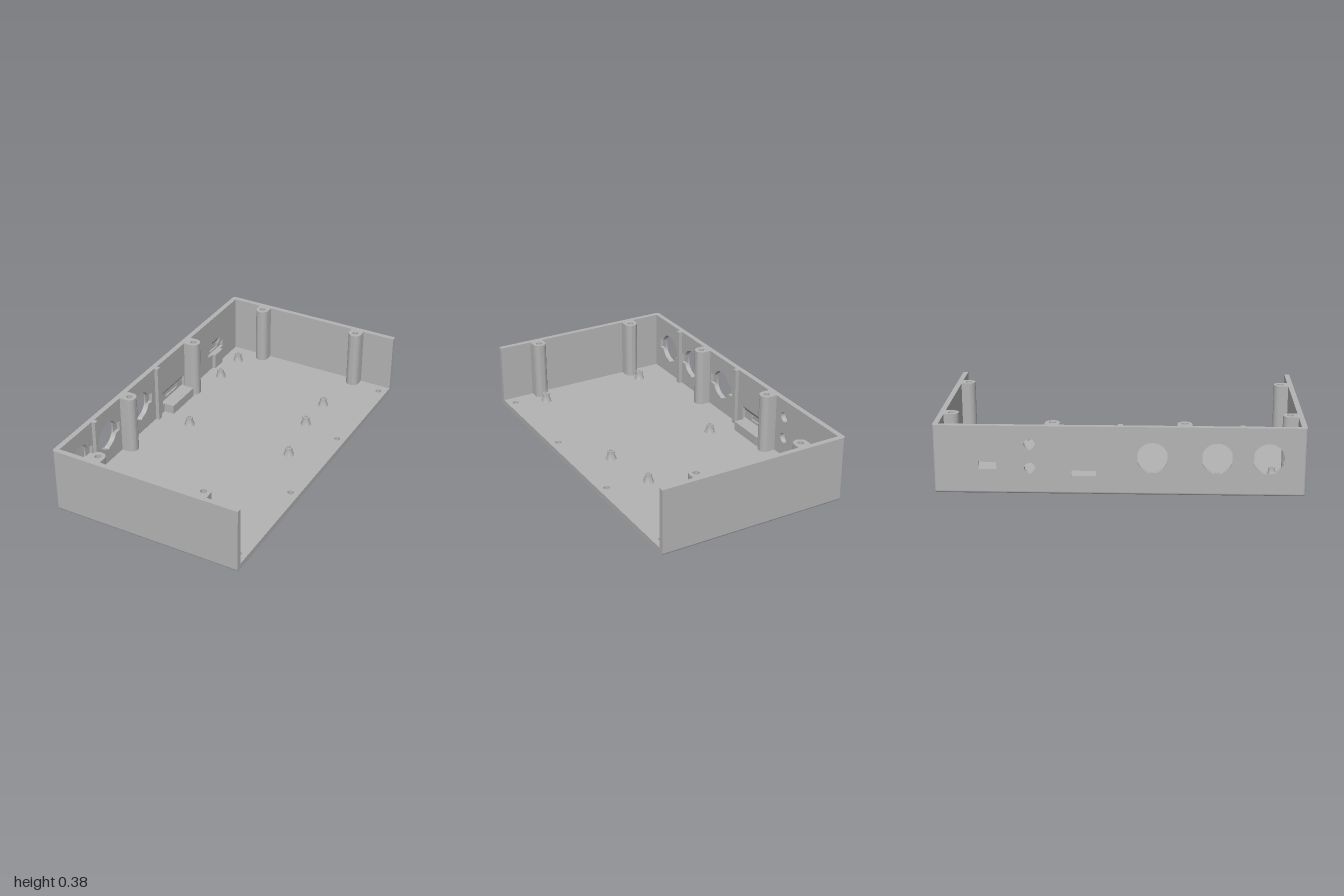
import * as THREE from 'three';
import { toCreasedNormals } from 'three/addons/utils/BufferGeometryUtils.js';

export function createModel() {
  const group = new THREE.Group();
  group.name = 'enclosureHalf';
  const grey = new THREE.MeshStandardMaterial({ color: 0xb3b3b3 });
  grey.name = 'grey plastic';

  const H = 0.383, X = 0.56, Z = 1, T = 0.03, F = 0.035, R = T / 2;

  const add = (name, geo, x = 0, y = 0, z = 0) => {
    const m = new THREE.Mesh(geo, grey);
    m.name = name;
    m.position.set(x, y, z);
    group.add(m);
    return m;
  };
  // box given by its limits
  const box = (name, x0, x1, y0, y1, z0, z1) =>
    add(name, new THREE.BoxGeometry(x1 - x0, y1 - y0, z1 - z0), (x0 + x1) / 2, (y0 + y1) / 2, (z0 + z1) / 2);
  const poly = (pts) => new THREE.Shape(pts.map(([a, b]) => new THREE.Vector2(a, b)));
  const rect = (a0, a1, b0, b1) => poly([[a0, b0], [a1, b0], [a1, b1], [a0, b1]]);
  const circle = (a, b, r) => new THREE.Shape().absarc(a, b, r, 0, Math.PI * 2, false);
  const extrude = (shape, depth) => toCreasedNormals(
    new THREE.ExtrudeGeometry(shape, { depth, bevelEnabled: false, curveSegments: 32 }), 0.6);

  // screw post centres with the turn that points each one at its wall
  const posts = [
    [-0.315, -0.932, 0], [0.325, -0.932, 0],
    [-0.315, 0.928, Math.PI], [0.325, 0.928, Math.PI],
    [-0.487, -0.36, Math.PI / 2], [-0.49, 0.35, Math.PI / 2],
  ];
  const edgeHoles = [-0.91, -0.305, 0.3, 0.905].map((z) => [0.51, z]);

  // floor with screw holes (shape y is -z)
  const floor = rect(-X + R, X, -Z + R, Z - R);
  [...posts, ...edgeHoles].forEach(([x, z]) => floor.holes.push(circle(x, -z, 0.018)));
  add('floor', extrude(floor, F).rotateX(-Math.PI / 2));

  // front and back walls with rounded bottom edges and corners
  for (const s of [1, -1]) {
    const end = s > 0 ? 'front' : 'back';
    const zc = s * (Z - R);
    box(end + 'Wall', -X + R, X, R, H, zc - R, zc + R);
    add(end + 'BottomEdge', new THREE.CylinderGeometry(R, R, 2 * X - R, 24).rotateZ(Math.PI / 2), R / 2, R, zc);
    add(end + 'CornerEdge', new THREE.CylinderGeometry(R, R, H - R, 24), -X + R, (H + R) / 2, zc);
    add(end + 'CornerBall', new THREE.SphereGeometry(R, 20, 12), -X + R, R, zc);
  }
  add('sideBottomEdge', new THREE.CylinderGeometry(R, R, 2 * (Z - R), 24).rotateX(Math.PI / 2), -X + R, R, 0);

  // round opening with a small bottom notch, and side ears when ear > 0
  const keyedHole = (a, b, ear) => {
    const r = 0.085, h = 0.03, t = Math.asin(h / r), pts = [];
    const arc = (from, to) => {
      for (let i = 0; i <= 16; i++) {
        const q = from + (to - from) * i / 16;
        pts.push([a + r * Math.cos(q), b + r * Math.sin(q)]);
      }
    };
    if (ear) pts.push([a + ear, b - h], [a + ear, b + h]);
    arc(t, Math.PI - t);
    if (ear) pts.push([a - ear, b + h], [a - ear, b - h]);
    arc(Math.PI + t, Math.PI * 1.5 - 0.12);
    pts.push([a, b - r - 0.01]);
    arc(Math.PI * 1.5 + 0.12, Math.PI * 2 - t);
    return poly(pts);
  };

  // connector wall: thin outer skin plus inner layer with pockets (shape x is -z)
  const skin = rect(-Z + R, Z - R, R, H);
  const inner = rect(-Z + T, Z - T, R, H);
  for (const z of [0.8, 0.525, 0.178]) {
    skin.holes.push(keyedHole(-z, 0.21, 0));
    inner.holes.push(keyedHole(-z, 0.21, 0.12));
  }
  for (const y of [0.147, 0.28]) {
    skin.holes.push(circle(0.48, y, 0.03));
    inner.holes.push(circle(0.48, y, 0.03));
  }
  skin.holes.push(rect(0.125, 0.255, 0.105, 0.135));
  skin.holes.push(rect(0.66, 0.757, 0.14, 0.18));
  inner.holes.push(rect(0.06, 0.315, 0.09, 0.17));
  inner.holes.push(poly([[0.615, 0.13], [0.797, 0.13], [0.797, 0.178], [0.757, 0.178],
    [0.757, 0.218], [0.66, 0.218], [0.66, 0.178], [0.615, 0.178]]));
  const skinT = 0.01;
  add('connectorWallSkin', extrude(skin, skinT).rotateY(Math.PI / 2), -X);
  add('connectorWallInner', extrude(inner, T - skinT).rotateY(Math.PI / 2), -X + skinT);

  // sloped pocket ceilings
  const slope = (name, z0, z1, yLow, yHigh) => add(name,
    extrude(poly([[-X + skinT, yLow], [-X + T, yHigh], [-X + skinT, yHigh]]), z1 - z0), 0, 0, z0);
  slope('longPocketCeiling', -0.315, -0.06, 0.14, 0.17);
  slope('smallPocketCeiling', -0.757, -0.66, 0.185, 0.218);
  slope('smallPocketSide', -0.66, -0.615, 0.153, 0.178);
  slope('smallPocketSide', -0.797, -0.757, 0.153, 0.178);

  // connector supports and wall ribs
  box('longConnectorShelf', -X + T, -0.465, F, 0.09, -0.31, -0.075);
  box('smallConnectorSupport', -X + T, -0.51, F, 0.13, -0.76, -0.665);
  for (const z of [0.658, 0.006]) box('wallRib', -X + T, -0.508, F, H, z - 0.014, z + 0.014);

  // screw posts merging into the walls
  const post = new THREE.Shape();
  post.absarc(0, 0, 0.04, Math.PI, Math.PI * 2, false);
  post.lineTo(0.04, 0.045);
  post.lineTo(-0.04, 0.045);
  post.closePath();
  post.holes.push(circle(0, 0, 0.018));
  const postGeo = extrude(post, H - F).rotateX(-Math.PI / 2);
  for (const [x, z, turn] of posts) add('screwPost', postGeo, x, F, z).rotation.y = turn;

  // flared board standoffs with blind holes
  const profile = [[0.031, 0], [0.029, 0.008], [0.02, 0.03], [0.02, 0.051], [0.011, 0.051], [0.011, 0.002], [0, 0.002]];
  const standoff = toCreasedNormals(
    new THREE.LatheGeometry(profile.map(([r, y]) => new THREE.Vector2(r, y)), 28), 0.6);
  const spots = [[-0.432, -0.825], [-0.432, -0.597], [0.28, -0.6], [0.28, -0.36],
    [-0.325, -0.025], [0.335, -0.025], [-0.325, 0.835], [0.335, 0.835]];
  for (const [x, z] of spots) add('standoff', standoff, x, F, z);

  return group;
}
